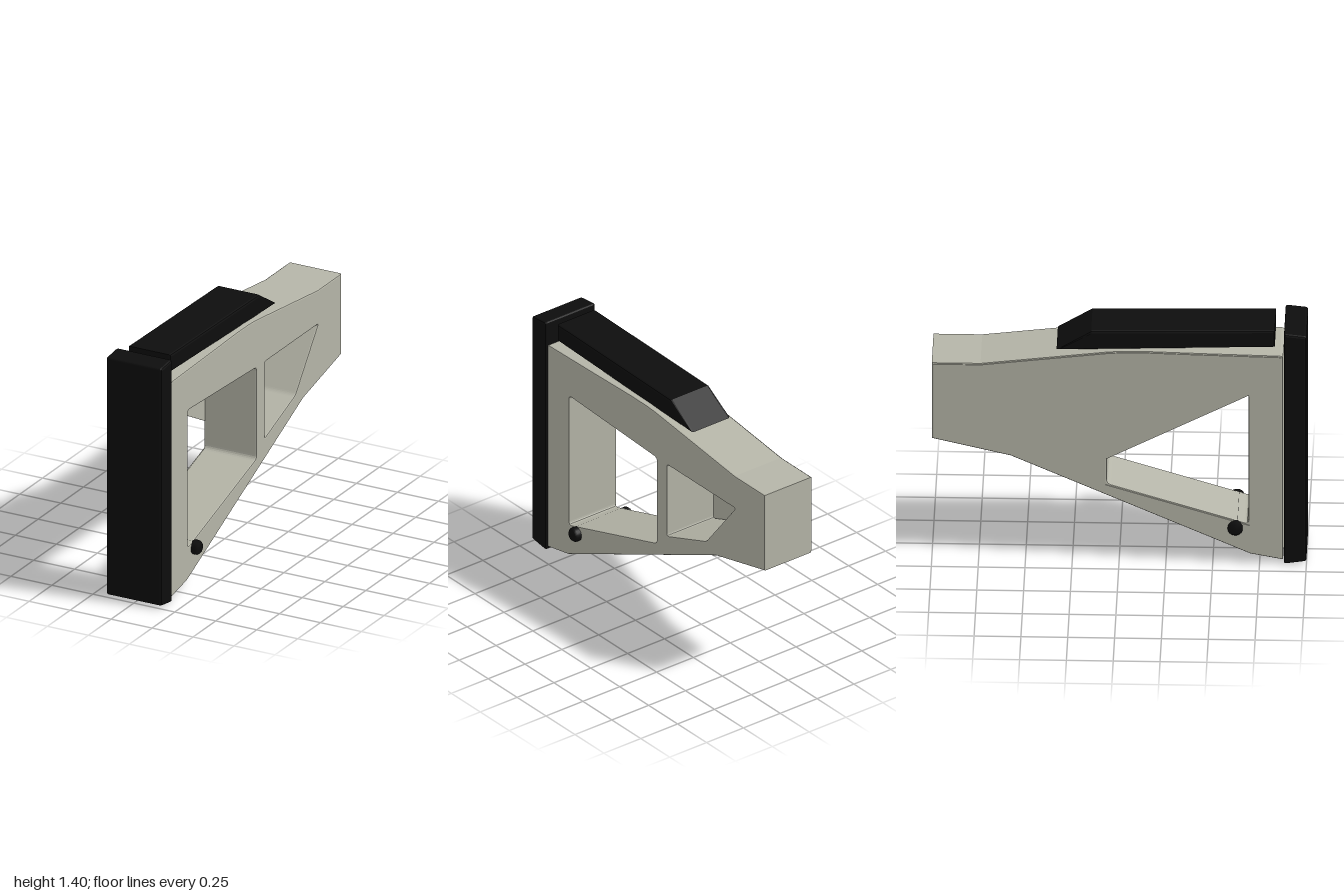
import * as THREE from 'three';

// Side outlines are [z, y] pairs
const BODY = [[0.875, 0.022], [0.875, 1.265], [0.86, 1.27], [0.45, 1.279], [0.15, 1.287], [0.02, 1.286], [-0.06, 1.281],
  [-0.74, 1.2], [-1, 1.2], [-1, 0.735], [-0.58, 0.635], [0.7, 0.055]];
const MAIN_OPENING = [[0.69, 0.24], [0.69, 1.037], [-0.065, 1.003], [-0.065, 0.475]];
const REAR_POCKET = [[-0.155, 0.56], [-0.155, 1.002], [-0.745, 1.002], [-0.492, 0.684]];
const PLATE_HOLE = [[0.69, 0.24], [0.69, 1.02], [-0.065, 0.62], [-0.065, 0.475]];
const PAD = [[1, 0.018], [1, 1.392], [0.88, 1.405], [0.88, 0]];
const CHEEK = [[0.83, 1.304], [0.83, 1.404], [-0.15, 1.388], [-0.335, 1.272]];

// Traces a polygon, rounding each corner by r
function trace(path, pts, r = 0) {
  const v = pts.map(p => new THREE.Vector2(...p));
  v.forEach((p, i) => {
    const prev = v[(i + v.length - 1) % v.length], next = v[(i + 1) % v.length];
    const toward = q => p.clone().add(q.clone().sub(p).setLength(r));
    const a = r ? toward(prev) : p, b = toward(next);
    if (i === 0) path.moveTo(a.x, a.y); else path.lineTo(a.x, a.y);
    if (r) path.quadraticCurveTo(p.x, p.y, b.x, b.y);
  });
  path.closePath();
  return path;
}

// Extrudes a side outline across x from x0 to x1, with a bevel inside the outline
function slab(shape, x0, x1, bevel, inset = bevel) {
  const geo = new THREE.ExtrudeGeometry(shape, {
    depth: x1 - x0 - 2 * bevel, curveSegments: 4, bevelEnabled: true,
    bevelThickness: bevel, bevelSize: bevel, bevelOffset: -inset, bevelSegments: bevel ? 2 : 1,
  });
  geo.rotateY(-Math.PI / 2);
  geo.translate(x1 - bevel, 0, 0);
  return geo;
}

export function createModel() {
  const group = new THREE.Group();
  const stone = new THREE.MeshStandardMaterial({ name: 'warm grey', color: 0xb5b5a8 });
  const black = new THREE.MeshStandardMaterial({ name: 'black', color: 0x0d0d0d });
  const add = (name, geo, mat) => {
    const mesh = new THREE.Mesh(geo, mat);
    mesh.name = name;
    group.add(mesh);
  };

  // Frame with two deep openings
  const body = trace(new THREE.Shape(), BODY);
  body.holes.push(trace(new THREE.Path(), MAIN_OPENING, 0.022), trace(new THREE.Path(), REAR_POCKET, 0.016));
  add('frame', slab(body, -0.16, 0.16, 0.008), stone);

  // Thin skin closing the right side, leaving a four-cornered window
  const skin = trace(new THREE.Shape(), BODY);
  skin.holes.push(trace(new THREE.Path(), PLATE_HOLE));
  add('sideSkin', slab(skin, -0.165, -0.16, 0, 0.008), stone);

  // Front pad and top rest
  add('endPad', slab(trace(new THREE.Shape(), PAD, 0.012), -0.17, 0.17, 0.012), black);
  add('topRest', slab(trace(new THREE.Shape(), CHEEK), -0.13, 0.13, 0.012), black);

  // Cross pin with chamfered ends
  const pin = new THREE.LatheGeometry([[0, -0.195], [0.03, -0.195], [0.04, -0.183], [0.04, 0.183], [0.03, 0.195], [0, 0.195]]
    .map(p => new THREE.Vector2(...p)), 20);
  pin.rotateZ(Math.PI / 2);
  pin.translate(0, 0.22, 0.62);
  add('crossPin', pin, black);

  return group;
}
